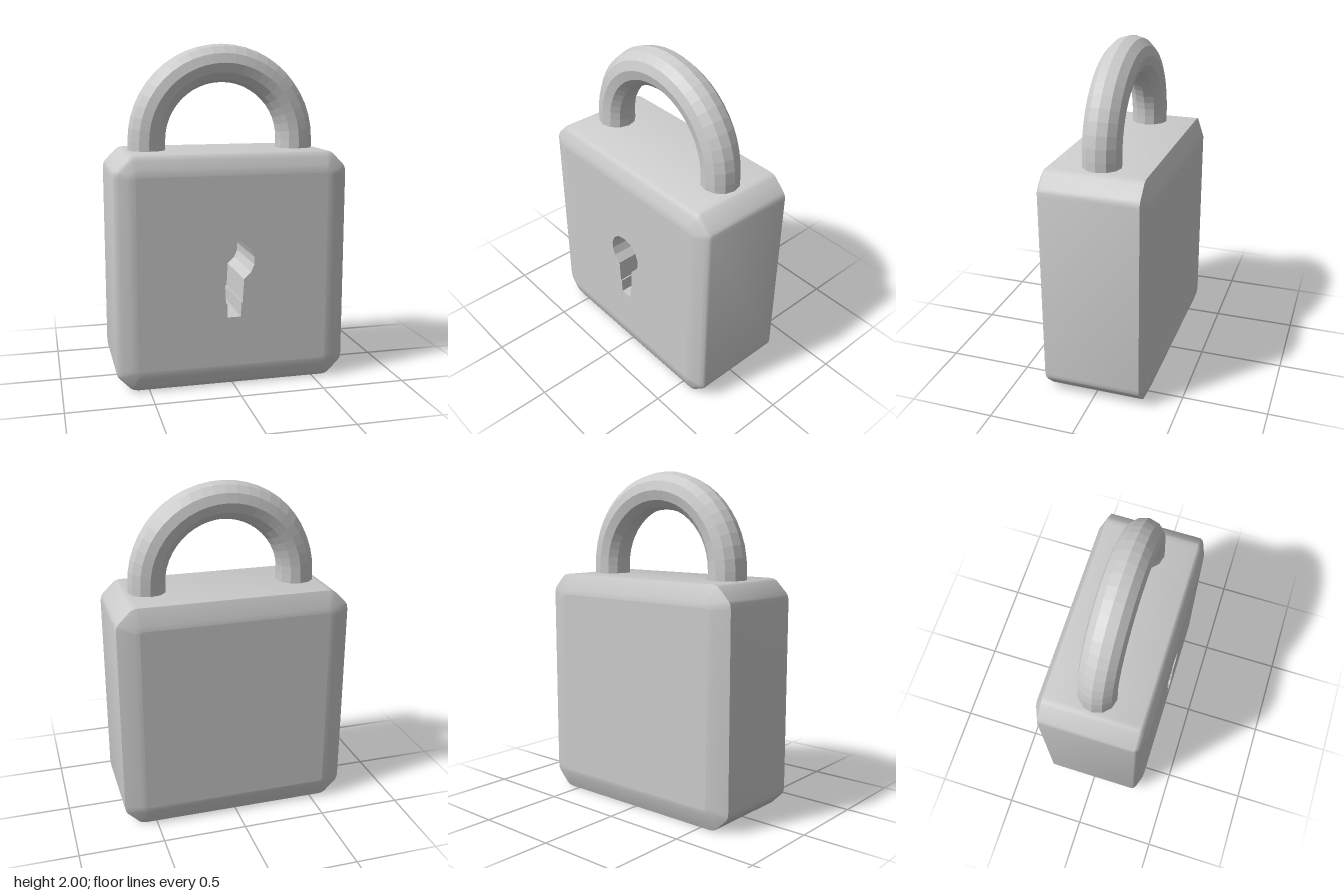
import * as THREE from 'three';
import { mergeGeometries, toCreasedNormals } from 'three/addons/utils/BufferGeometryUtils.js';

const HALF = 0.69, CENTRE_Y = 0.69;
const HOLE_DEPTH = 0.4;
const FACE_INSET = 0.125, FACE_Z = 0.33;

const material = new THREE.MeshStandardMaterial({ color: 0xcccccc });
const flatMaterial = new THREE.MeshStandardMaterial({ color: 0xcccccc, flatShading: true });

// Square outline with softened chamfer corners, counter-clockwise
function outline(inset) {
  const h = HALF - inset;
  const c = Math.max(0.11 - inset * 0.8, 0.012);
  const corner = [[0, 1.15], [0.04, 0.9], [0.13, 0.75], [0.75, 0.13], [0.9, 0.04], [1.15, 0]];
  const points = [];
  for (let k = 0; k < 4; k++) {
    for (const [u, v] of corner) {
      const p = new THREE.Vector2(h - u * c, h - v * c);
      p.rotateAround(new THREE.Vector2(), (k * Math.PI) / 2);
      points.push(new THREE.Vector2(p.x, p.y + CENTRE_Y));
    }
  }
  return points;
}

// Skin between matching outlines placed along z
function loft(rings, crease) {
  const pos = [];
  for (let i = 0; i < rings.length - 1; i++) {
    const [r0, r1] = [rings[i], rings[i + 1]];
    const n = r0.points.length;
    for (let j = 0; j < n; j++) {
      const k = (j + 1) % n;
      const a = [r0.points[j].x, r0.points[j].y, r0.z];
      const b = [r0.points[k].x, r0.points[k].y, r0.z];
      const c = [r1.points[k].x, r1.points[k].y, r1.z];
      const d = [r1.points[j].x, r1.points[j].y, r1.z];
      pos.push(...a, ...b, ...c, ...a, ...c, ...d);
    }
  }
  const g = new THREE.BufferGeometry();
  g.setAttribute('position', new THREE.Float32BufferAttribute(pos, 3));
  return toCreasedNormals(g, crease);
}

function cap(shape, z) {
  const g = new THREE.ShapeGeometry(shape).toNonIndexed();
  g.deleteAttribute('uv');
  return g.translate(0, 0, z);
}

// Keyhole: round top and a stepped slot, counter-clockwise
function keyholePoints() {
  const right = [[0.04, 0.42], [0.043, 0.505], [0.051, 0.505], [0.058, 0.645],
    [0.1, 0.685], [0.12, 0.73], [0.12, 0.775], [0.1, 0.825], [0.06, 0.86]];
  const left = right.map(([x, y]) => [-x, y]).reverse();
  return [...right, [0, 0.873], ...left].map(([x, y]) => new THREE.Vector2(x, y));
}

export function createModel() {
  const group = new THREE.Group();
  const add = (name, geometry, mat) => {
    const mesh = new THREE.Mesh(geometry, mat);
    mesh.name = name;
    group.add(mesh);
    return mesh;
  };

  // Case: crisp bevel at the back, rounded bevel at the front
  const profile = [[-FACE_Z, FACE_INSET], [-0.326, 0.095], [-0.285, 0], [0.28, 0],
    [0.294, 0.01], [0.306, 0.034], [0.322, 0.08], [0.328, 0.1], [FACE_Z, FACE_INSET]];
  const skin = loft(profile.map(([z, inset]) => ({ z, points: outline(inset) })), 0.7);
  const hole = keyholePoints();
  const frontShape = new THREE.Shape(outline(FACE_INSET));
  frontShape.holes.push(new THREE.Path(hole));
  const front = cap(frontShape, FACE_Z);
  const back = cap(new THREE.Shape(outline(FACE_INSET)), FACE_Z).rotateY(Math.PI);
  add('lockBody', mergeGeometries([skin, front, back]), material);

  // Keyhole recess: inward-facing walls and a floor
  const walls = loft([{ z: FACE_Z, points: hole }, { z: FACE_Z - HOLE_DEPTH, points: hole }], 0.3);
  const floor = cap(new THREE.Shape(hole), FACE_Z - HOLE_DEPTH);
  add('keyhole', mergeGeometries([walls, floor]), material);

  // Shackle: half ring on two short legs
  const R = 0.455, r = 0.112, springY = 1.433, legBottom = 1.33;
  add('shackleArch', new THREE.TorusGeometry(R, r, 12, 24, Math.PI), flatMaterial)
    .position.y = springY;
  const legHeight = springY - legBottom;
  for (const side of [-1, 1]) {
    const leg = new THREE.CylinderGeometry(r, r, legHeight, 12, 1, true);
    add(side > 0 ? 'leftShackleLeg' : 'rightShackleLeg', leg, flatMaterial)
      .position.set(side * R, legBottom + legHeight / 2, 0);
  }
  return group;
}
